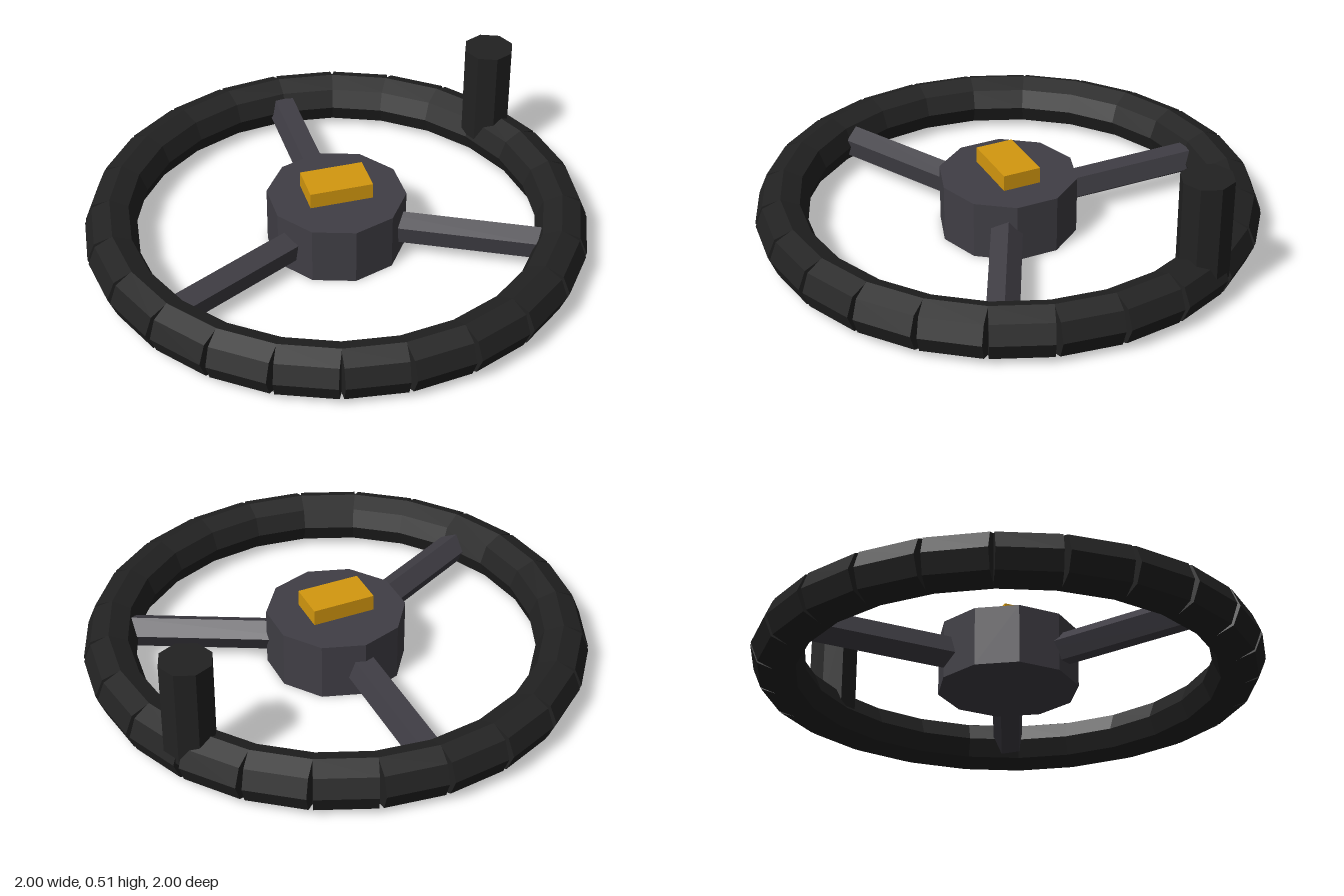
import * as THREE from 'three';

const material = (name, color) => {
  const m = new THREE.MeshStandardMaterial({ color, flatShading: true });
  m.name = name;
  return m;
};

export function createModel() {
  const black = material('black grip', 0x222222);
  const grey = material('dark grey metal', 0x403e45);
  const gold = material('gold', 0xd4980f);
  const model = new THREE.Group();
  model.name = 'steeringWheel';

  const add = (parent, name, geometry, mat, x, y, z) => {
    const mesh = new THREE.Mesh(geometry, mat);
    mesh.name = name;
    mesh.position.set(x, y, z);
    parent.add(mesh);
    return mesh;
  };
  const up = new THREE.Vector3(0, 1, 0);
  const midY = 0.105;
  const rimRadius = 0.888;

  // Rim: a ring of short straight octagonal sections
  const rim = new THREE.Group();
  rim.name = 'rim';
  model.add(rim);
  const section = new THREE.CylinderGeometry(0.103, 0.103, 0.236, 8);
  section.rotateZ(Math.PI / 2);
  const count = 24;
  for (let i = 0; i < count; i++) {
    const a = ((i + 0.5) / count) * Math.PI * 2;
    const mesh = add(rim, 'rimSection', section, black,
      Math.sin(a) * rimRadius, midY, Math.cos(a) * rimRadius);
    mesh.rotation.y = a;
  }

  // Hub and centre badge plate
  add(model, 'hub', new THREE.CylinderGeometry(0.276, 0.276, 0.235, 10), grey, 0, 0.1175, 0);
  add(model, 'centreBlock', new THREE.BoxGeometry(0.254, 0.065, 0.154), gold, 0, 0.2695, 0);

  // Three five-sided spokes, each running from the rim in to the hub
  const spokeLength = 0.86;
  const spoke = new THREE.CylinderGeometry(0.065, 0.065, spokeLength, 5);
  for (const degrees of [-90, 27, 153]) {
    const a = THREE.MathUtils.degToRad(degrees);
    const inward = new THREE.Vector3(-Math.cos(a), 0, -Math.sin(a));
    const mesh = add(model, 'spoke', spoke, grey,
      -inward.x * spokeLength / 2, midY, -inward.z * spokeLength / 2);
    mesh.quaternion.setFromUnitVectors(up, inward);
  }

  // Upright turning knob on the rim
  add(model, 'knob', new THREE.CylinderGeometry(0.103, 0.103, 0.405, 8), black, 0.78, 0.3125, -0.427);

  return model;
}
